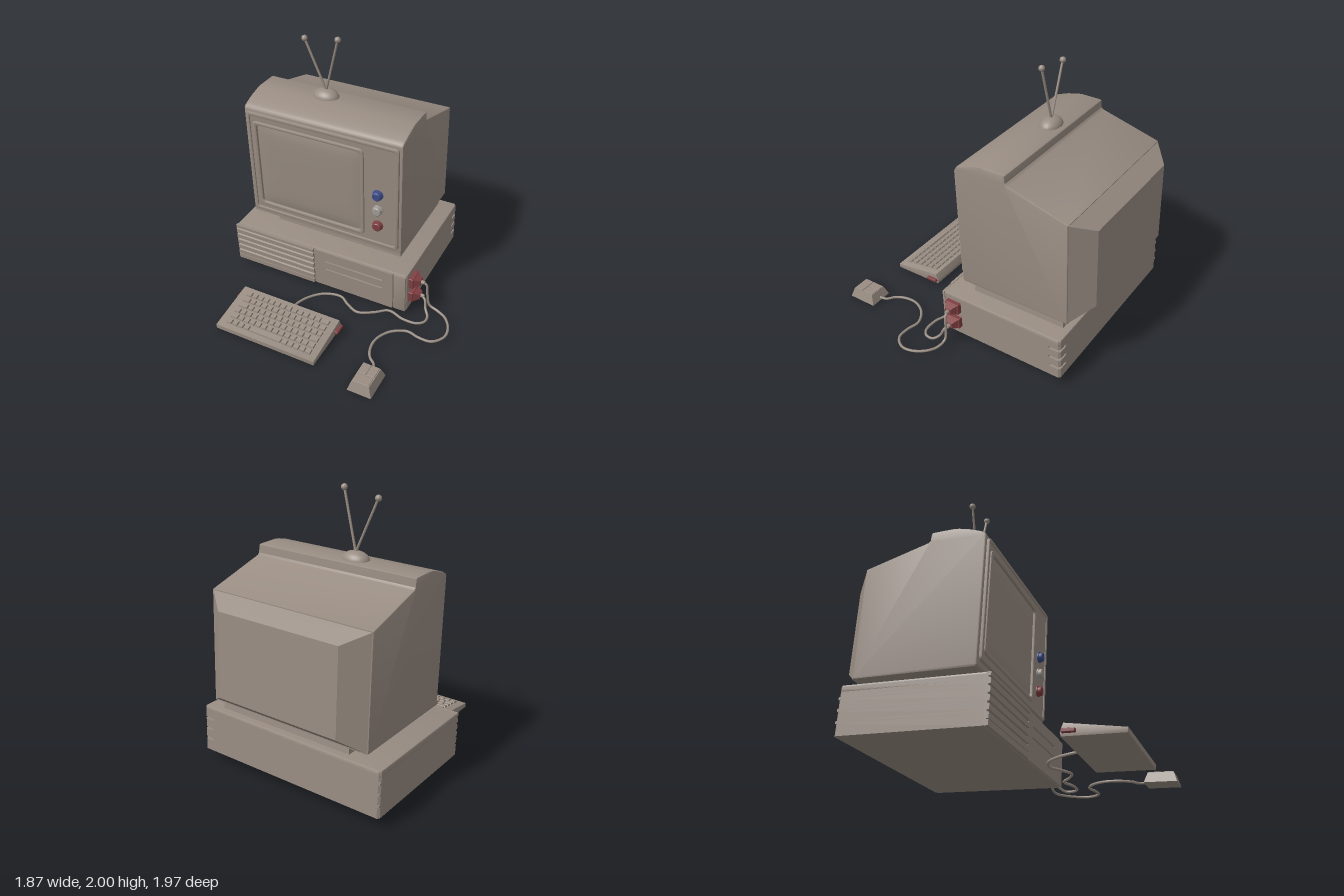
import * as THREE from 'three';
import { mergeGeometries, toCreasedNormals } from 'three/addons/utils/BufferGeometryUtils.js';
import { RoundedBoxGeometry } from 'three/addons/geometries/RoundedBoxGeometry.js';

const paint = (name, color) => {
  const m = new THREE.MeshStandardMaterial({ color });
  m.name = name;
  return m;
};

// Rounded rectangle between two corners, as a shape or as a hole
function roundRect(x0, y0, x1, y1, r, Type = THREE.Shape) {
  const s = new Type();
  s.moveTo(x0 + r, y0);
  s.lineTo(x1 - r, y0).quadraticCurveTo(x1, y0, x1, y0 + r);
  s.lineTo(x1, y1 - r).quadraticCurveTo(x1, y1, x1 - r, y1);
  s.lineTo(x0 + r, y1).quadraticCurveTo(x0, y1, x0, y1 - r);
  s.lineTo(x0, y0 + r).quadraticCurveTo(x0, y0, x0 + r, y0);
  return s;
}

// Extrusion that stays inside its outline and depth, bevel included
function extrude(shape, depth, bevel = 0) {
  const g = new THREE.ExtrudeGeometry(shape, {
    depth: depth - 2 * bevel, bevelEnabled: bevel > 0, bevelSize: bevel,
    bevelThickness: bevel, bevelOffset: -bevel, bevelSegments: 2, curveSegments: 5,
  });
  return toCreasedNormals(g.translate(0, 0, bevel), 0.6);
}

// Side profile of [z, y] points swept from x0 to x1
function sweepX(points, x0, x1, bevel) {
  const shape = new THREE.Shape(points.map(([z, y]) => new THREE.Vector2(-z, y)));
  return extrude(shape, x1 - x0, bevel).rotateY(Math.PI / 2).translate(x0, 0, 0);
}

// Box along y whose top has another size and offset
function frustum(w0, d0, w1, d1, h, dx = 0, dz = 0) {
  const g = new THREE.BoxGeometry(1, h, 1).toNonIndexed();
  const p = g.attributes.position;
  for (let i = 0; i < p.count; i++) {
    const top = p.getY(i) > 0;
    p.setX(i, p.getX(i) * (top ? w1 : w0) + (top ? dx : 0));
    p.setZ(i, p.getZ(i) * (top ? d1 : d0) + (top ? dz : 0));
  }
  g.computeVertexNormals();
  return g.translate(0, h / 2, 0);
}

export function createModel() {
  const beige = paint('warm grey plastic', 0x988c82);
  const pale = paint('pale grey knob', 0xa09c96);
  const red = paint('dull red', 0x803f42);
  const blue = paint('dull blue', 0x3c4c88);
  const model = new THREE.Group();
  const set = new THREE.Group();
  set.name = 'computerSet';
  set.rotation.x = 0.047; // everything leans slightly forward
  set.position.y = 0.047;
  model.add(set);

  const add = (name, geometry, material = beige, x = 0, y = 0, z = 0) => {
    const m = new THREE.Mesh(geometry, material);
    m.name = name;
    m.position.set(x, y, z);
    set.add(m);
    return m;
  };

  // Case, stacked in layers so three vents notch the rear corner
  const caseOutline = (notch) => {
    const pts = notch
      ? [[-0.93, -0.115], [0.56, -0.115], [0.56, 0.80], [0.54, 0.80], [0.54, 0.87], [0.48, 0.87], [0.48, 0.89], [-0.93, 0.89]]
      : [[-0.93, -0.115], [0.545, -0.115], [0.56, -0.1], [0.56, 0.875], [0.545, 0.89], [-0.915, 0.89], [-0.93, 0.875]];
    return new THREE.Shape(pts.map(([x, y]) => new THREE.Vector2(x, y)));
  };
  const levels = [0, 0.08, 0.1, 0.16, 0.18, 0.24, 0.26, 0.325];
  for (let i = 0; i < levels.length - 1; i++) {
    const g = extrude(caseOutline(i % 2 === 1), levels[i + 1] - levels[i]);
    add(i % 2 ? 'caseVent' : 'caseLayer', g.rotateX(-Math.PI / 2), beige, 0, levels[i]);
  }
  add('caseTop', extrude(caseOutline(false), 0.06, 0.012).rotateX(-Math.PI / 2), beige, 0, 0.28);

  // Case front: louvred left half, slotted drive panel on the right
  add('louvrePanel', new THREE.BoxGeometry(0.71, 0.335, 0.015), beige, -0.575, 0.1695, 0.121);
  for (let i = 0; i < 5; i++) {
    const y = 0.042 + i * 0.054;
    add('louvre', sweepX([[0.12, y], [0.145, y + 0.004], [0.145, y + 0.04], [0.12, y + 0.05]], -0.93, -0.22, 0));
  }
  add('louvreBase', new THREE.BoxGeometry(0.71, 0.038, 0.025), beige, -0.575, 0.02, 0.132);
  add('louvreHeader', new THREE.BoxGeometry(0.71, 0.025, 0.025), beige, -0.575, 0.325, 0.132);
  const drive = roundRect(-0.215, 0.002, 0.455, 0.338, 0.004);
  for (const y of [0.165, 0.242]) drive.holes.push(roundRect(-0.13, y, 0.37, y + 0.013, 0.004, THREE.Path));
  add('drivePanel', extrude(drive, 0.02), beige, 0, 0, 0.113);
  add('cornerPanel', extrude(roundRect(0.459, 0.002, 0.557, 0.338, 0.004), 0.02, 0.006), beige, 0, 0, 0.11);

  // Monitor foot
  add('monitorFoot', frustum(1.08, 0.76, 1.06, 0.74, 0.1), beige, -0.115, 0.335, -0.455);

  // Monitor shell with raised hood and tapered back
  add('monitorShell', sweepX([
    [-0.015, 0.424], [0, 0.437], [0, 1.375], [-0.01, 1.392], [-0.04, 1.408], [-0.12, 1.435], [-0.2, 1.453], [-0.24, 1.457],
    [-0.395, 1.452], [-0.408, 1.445], [-0.412, 1.39], [-0.425, 1.376], [-0.885, 1.234], [-0.885, 0.418],
  ], -0.83, 0.46, 0.012));
  add('monitorBack', frustum(1.285, 0.812, 0.96, 0.622, 0.135, -0.005, 0.008).rotateX(-Math.PI / 2),
    beige, -0.185, 0.826, -0.878);

  // Bezel: rim, inner panel, screen surround and bulging screen
  const ring = (a, b) => {
    const s = roundRect(...a);
    s.holes.push(roundRect(...b, THREE.Path));
    return s;
  };
  add('bezelRim', extrude(ring([-0.805, 0.475, 0.44, 1.362, 0.03], [-0.777, 0.503, 0.412, 1.334, 0.02]), 0.026, 0.008), beige, 0, 0, -0.004);
  add('bezelPanel', extrude(ring([-0.78, 0.5, 0.415, 1.337, 0.02], [-0.74, 0.555, 0.145, 1.273, 0.03]), 0.016), beige, 0, 0, -0.003);
  add('screenSurround', extrude(ring([-0.762, 0.533, 0.166, 1.293, 0.04], [-0.722, 0.565, 0.137, 1.265, 0.03]), 0.028, 0.01), beige, 0, 0, -0.003);
  const screen = new THREE.PlaneGeometry(0.88, 0.72, 20, 16);
  const sp = screen.attributes.position;
  for (let i = 0; i < sp.count; i++) {
    const u = sp.getX(i) / 0.44, v = sp.getY(i) / 0.36;
    sp.setZ(i, 0.018 * Math.sqrt(Math.max(0, (1 - u ** 4) * (1 - v ** 4))));
  }
  screen.computeVertexNormals();
  add('screen', screen, beige, -0.2925, 0.915, 0.002);

  // Control knobs
  const knob = new THREE.LatheGeometry(
    [[0.042, 0], [0.042, 0.012], [0.036, 0.014], [0.034, 0.036], [0.029, 0.041], [0, 0.041]].map((p) => new THREE.Vector2(...p)), 20);
  const knobGeo = toCreasedNormals(knob.rotateX(Math.PI / 2), 0.6);
  [[0.937, blue], [0.802, pale], [0.662, red]].forEach(([y, m]) => add('knob', knobGeo, m, 0.278, y, 0.01));

  // Antenna: dome, two rods and tip balls
  const dome = new THREE.SphereGeometry(1, 24, 8, 0, Math.PI * 2, 0, Math.PI / 2).scale(0.105, 0.066, 0.078);
  add('antennaDome', dome, beige, -0.295, 1.447, -0.296);
  const base = new THREE.Vector3(-0.293, 1.5, -0.297);
  for (const tip of [new THREE.Vector3(-0.452, 1.885, -0.294), new THREE.Vector3(-0.182, 1.924, -0.292)]) {
    add('antennaRod', new THREE.TubeGeometry(new THREE.LineCurve3(base, tip), 1, 0.009, 8));
    add('antennaTip', new THREE.SphereGeometry(0.023, 14, 10), beige, tip.x, tip.y, tip.z);
  }

  // Keyboard with sloping rows of keys
  add('keyboardBody', sweepX([[0.9, 0], [0.9, 0.035], [0.503, 0.088], [0.483, 0.03], [0.49, 0]], -0.635, 0.2, 0.004));
  const slope = 0.053 / 0.397;
  const keys = [];
  const key = (x0, x1, z, d) => {
    const g = frustum(x1 - x0 - 0.006, d, x1 - x0 - 0.014, d - 0.009, 0.016).rotateX(Math.atan(slope));
    keys.push(g.translate((x0 + x1) / 2, 0.035 + (0.9 - z) * slope - 0.003, z));
  };
  for (let row = 0; row < 6; row++) {
    const z = 0.56 + row * 0.055, shift = (row % 3) * 0.016;
    if (row === 5) {
      for (let i = 0; i < 4; i++) key(-0.575 + i * 0.05, -0.525 + i * 0.05, z, 0.044);
      key(-0.375, -0.1, z, 0.044);
      for (let i = 0; i < 5; i++) key(-0.1 + i * 0.05, -0.05 + i * 0.05, z, 0.044);
    } else {
      key(-0.575, -0.525 + shift, z, 0.044);
      for (let i = 0; i < 12; i++) key(-0.525 + shift + i * 0.05, -0.475 + shift + i * 0.05, z, 0.044);
      key(0.075 + shift, 0.148, z, 0.044);
    }
  }
  add('keys', mergeGeometries(keys));
  for (const x of [-0.643, 0.207]) {
    add('keyboardSideTab', new RoundedBoxGeometry(0.034, 0.026, 0.09, 2, 0.006), red, x, 0.033, 0.54);
  }

  // Mouse with two buttons and a palm plate
  add('mouseBody', frustum(0.185, 0.235, 0.135, 0.185, 0.075), beige, 0.6, 0, 0.868);
  for (const x of [0.568, 0.632]) {
    add('mouseButton', new RoundedBoxGeometry(0.059, 0.009, 0.095, 1, 0.003), beige, x, 0.077, 0.825);
  }
  add('mousePalm', new RoundedBoxGeometry(0.123, 0.009, 0.075, 1, 0.003), beige, 0.6, 0.077, 0.918);

  // Plugs in the side of the case
  for (const y of [0.115, 0.25]) {
    add('plugHead', new RoundedBoxGeometry(0.04, 0.088, 0.12, 2, 0.006), red, 0.577, y, 0.018);
    add('plugTaper', frustum(0.078, 0.1, 0.042, 0.05, 0.046).rotateZ(-Math.PI / 2), red, 0.595, y, 0.018);
    add('plugSleeve', new THREE.CylinderGeometry(0.013, 0.017, 0.03, 10).rotateZ(-Math.PI / 2), beige, 0.652, y, 0.018);
  }

  // Cables
  const cable = (name, pts) => {
    const curve = new THREE.CatmullRomCurve3(pts.map((p) => new THREE.Vector3(...p)));
    add(name, new THREE.TubeGeometry(curve, 110, 0.01, 8));
  };
  const f = 0.012;
  cable('mouseCable', [
    [0.65, 0.25, 0.018], [0.68, 0.23, 0.012], [0.69, 0.13, 0.01], [0.71, 0.035, 0.01], [0.78, f, 0.02], [0.86, f, 0.065],
    [0.92, f, 0.16], [0.925, f, 0.25], [0.86, f, 0.33], [0.76, f, 0.335], [0.66, f, 0.315], [0.55, f, 0.375],
    [0.49, f, 0.48], [0.49, f, 0.58], [0.525, f, 0.66], [0.58, f, 0.71], [0.6, 0.02, 0.78],
  ]);
  cable('keyboardCable', [
    [0.65, 0.115, 0.018], [0.68, 0.1, 0.035], [0.7, 0.04, 0.065], [0.735, f, 0.11], [0.735, f, 0.17], [0.69, f, 0.21],
    [0.58, f, 0.215], [0.45, f, 0.18], [0.35, f, 0.25], [0.24, f, 0.3], [0.14, f, 0.26], [0.05, f, 0.205],
    [-0.08, f, 0.235], [-0.17, f, 0.32], [-0.21, 0.02, 0.42], [-0.215, 0.03, 0.5],
  ]);
  return model;
}
